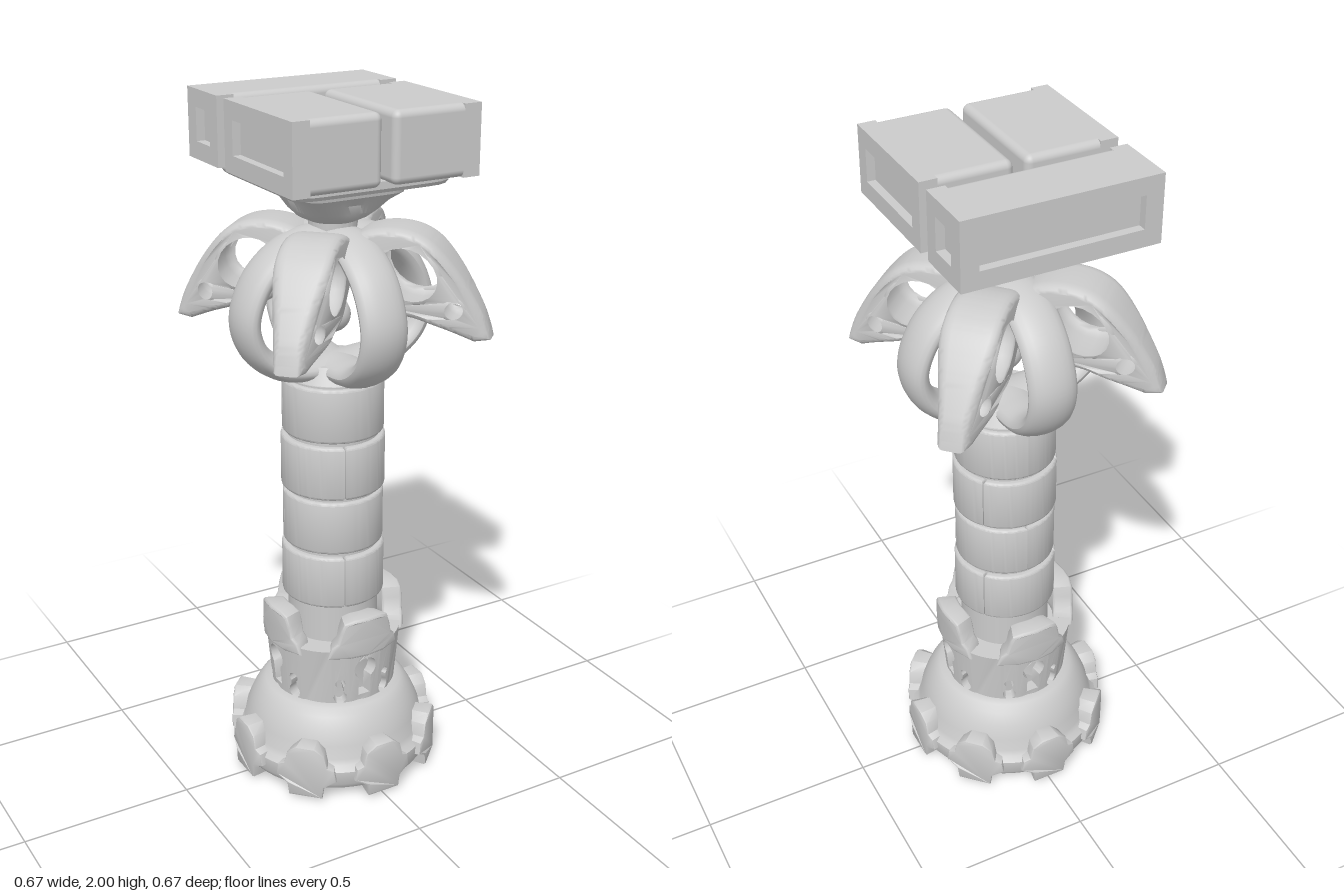
import * as THREE from 'three';
import { toCreasedNormals } from 'three/addons/utils/BufferGeometryUtils.js';
import { RoundedBoxGeometry } from 'three/addons/geometries/RoundedBoxGeometry.js';

const mat = new THREE.MeshStandardMaterial({ color: 0xcccccc, side: THREE.DoubleSide });
const rad = THREE.MathUtils.degToRad;
const V2 = (p) => p.map(([x, y]) => new THREE.Vector2(x, y));

function add(parent, name, geo, x = 0, y = 0, z = 0) {
  const m = new THREE.Mesh(geo, mat);
  m.name = name;
  m.position.set(x, y, z);
  parent.add(m);
  return m;
}

function moveVertices(geo, rule) {
  const p = geo.attributes.position, v = new THREE.Vector3();
  for (let i = 0; i < p.count; i++) {
    rule(v.fromBufferAttribute(p, i));
    p.setXYZ(i, v.x, v.y, v.z);
  }
  geo.computeVertexNormals();
  return geo;
}

const creased = (geo, a = 0.7) => toCreasedNormals(geo, a);

// Wraps a flat extrusion around the y axis; radius(y) is its inner radius.
function bend(geo, r0, radius) {
  return creased(moveVertices(geo, (v) => {
    const a = v.x / r0, r = radius(v.y) + v.z;
    v.set(Math.sin(a) * r, v.y, Math.cos(a) * r);
  }));
}

// Round head with a straight slot below it.
function keyhole(cy, r, half, bottom) {
  const pts = [[-half, bottom], [half, bottom]];
  const a0 = -Math.acos(half / r);
  for (let i = 0; i <= 12; i++) {
    const a = a0 + (Math.PI - 2 * a0) * i / 12;
    pts.push([Math.cos(a) * r, cy + Math.sin(a) * r]);
  }
  return new THREE.Path(V2(pts).reverse());
}

// Two touching round openings.
function doubleHole() {
  const pts = [];
  for (let i = 0; i <= 10; i++) {
    const a = -0.95 + 5.04 * i / 10;
    pts.push([Math.cos(a) * 0.015, 0.328 + Math.sin(a) * 0.015]);
  }
  for (let i = 0; i <= 10; i++) {
    const a = 2.2 + 5.02 * i / 10;
    pts.push([Math.cos(a) * 0.02, 0.28 + Math.sin(a) * 0.022]);
  }
  return new THREE.Path(V2(pts).reverse());
}

function buildBase(g) {
  // Hollow flared skirt
  add(g, 'baseSkirt', creased(new THREE.LatheGeometry(V2([
    [0.16, 0.26], [0.165, 0.22], [0.2, 0.15], [0.2, 0], [0.222, 0.005], [0.225, 0.03], [0.28, 0.03],
    [0.293, 0.05], [0.293, 0.09], [0.278, 0.105], [0.27, 0.12], [0.262, 0.16], [0.245, 0.2],
    [0.225, 0.235], [0.205, 0.255], [0.18, 0.262], [0.16, 0.26]]), 64).toNonIndexed()));

  // Domed lugs around the foot
  const lug = new THREE.Shape(V2([[-0.045, 0.015], [0.045, 0.015], [0.05, 0.05], [0.085, 0.07], [0.08, 0.1],
    [0.06, 0.11], [0.05, 0.15], [0.025, 0.17], [-0.025, 0.17], [-0.05, 0.15], [-0.06, 0.11],
    [-0.08, 0.1], [-0.085, 0.07], [-0.05, 0.05]]));
  const lugGeo = bend(new THREE.ExtrudeGeometry(lug, { depth: 0.05, bevelSize: 0.006, bevelThickness: 0.006,
    bevelSegments: 2 }), 0.3, () => 0.254);
  for (let i = 0; i < 8; i++) add(g, 'footLug', lugGeo).rotation.y = i * Math.PI / 4;

  // Tower wall in panels, pierced by windows
  const R = 0.19;
  const panel = (deg, hole) => {
    const h = rad(deg) * R / 2, pts = [], n = Math.round(deg / 4);
    for (let i = 0; i <= n; i++) pts.push([-h + 2 * h * i / n, 0.24]);
    for (let i = 0; i <= n; i++) pts.push([h - 2 * h * i / n, 0.44]);
    const s = new THREE.Shape(V2(pts));
    if (hole) s.holes.push(hole);
    return bend(new THREE.ExtrudeGeometry(s, { depth: 0.035, bevelEnabled: false }), R,
      (y) => 0.148 + (y - 0.24) * 0.09);
  };
  const small = panel(16, doubleHole());
  const panels = [[0, panel(30, keyhole(0.37, 0.036, 0.02, 0.28))], [23, small], [45, panel(28)], [67, small]];

  // Merlons, one above each large window
  const merlon = new THREE.Shape(V2([[-0.11, 0.425], [-0.055, 0.425], [0, 0.425], [0.055, 0.425], [0.11, 0.425],
    [0.1, 0.45], [0.083, 0.465], [0.075, 0.5], [0.065, 0.525], [0.04, 0.533], [0, 0.533], [-0.04, 0.533],
    [-0.065, 0.525], [-0.075, 0.5], [-0.083, 0.465], [-0.1, 0.45]]));
  const merlonGeo = bend(new THREE.ExtrudeGeometry(merlon, { depth: 0.045, bevelSize: 0.008,
    bevelThickness: 0.008, bevelSegments: 3 }), 0.2, () => 0.156);
  for (let q = 0; q < 4; q++) {
    for (const [deg, geo] of panels) add(g, 'towerWall', geo).rotation.y = rad(deg + q * 90);
    add(g, 'merlon', merlonGeo).rotation.y = q * Math.PI / 2;
  }
  add(g, 'towerDeck', new THREE.CylinderGeometry(0.19, 0.18, 0.025, 48), 0, 0.425, 0);
}

function buildColumn(g) {
  add(g, 'columnCore', new THREE.CylinderGeometry(0.132, 0.132, 0.8, 48), 0, 0.83, 0);
  // Four courses of curved stones with staggered seams
  const seams = [[-16, 129, 236], [74, 180, 255]];
  for (let row = 0; row < 4; row++) {
    const s = seams[row % 2], rOut = row % 2 ? 0.137 : 0.141;
    s.forEach((a, i) => {
      const b = i < 2 ? s[i + 1] : s[0] + 360;
      const a0 = rad(a - 90 + 3.6), a1 = rad(b - 90 - 3.6);
      const shape = new THREE.Shape();
      shape.absarc(0, 0, rOut, a0, a1, false);
      shape.absarc(0, 0, 0.11, a1, a0, true);
      const geo = new THREE.ExtrudeGeometry(shape, { depth: 0.143, curveSegments: 20, bevelSize: 0.008,
        bevelThickness: 0.008, bevelSegments: 3 });
      geo.rotateX(-Math.PI / 2);
      add(g, 'columnStone', creased(geo), 0, 0.564 + row * 0.17, 0);
    });
  }
}

function buildCage(g) {
  // Four wide ribs bulging into a globe
  const path = [[0, 1.62], [0.07, 1.625], [0.15, 1.6], [0.23, 1.53], [0.272, 1.42], [0.245, 1.33], [0.17, 1.272], [0.08, 1.257], [0, 1.257]];
  const curve = new THREE.CatmullRomCurve3(path.map(([x, y]) => new THREE.Vector3(x, y, 0)));
  const rib = moveVertices(new THREE.TubeGeometry(curve, 48, 0.034, 20), (v) => { v.z *= 2.05; });

  // Drooping pierced leaves on the diagonals
  const leaf = new THREE.Shape();
  leaf.moveTo(0.03, 1.58);
  leaf.splineThru(V2([[0.1, 1.635], [0.19, 1.65], [0.27, 1.625], [0.34, 1.55], [0.4, 1.45], [0.425, 1.385]]));
  leaf.lineTo(0.405, 1.383);
  leaf.splineThru(V2([[0.33, 1.415], [0.25, 1.44], [0.18, 1.455], [0.12, 1.51], [0.03, 1.58]]));
  const eye = new THREE.Path(), dot = new THREE.Path();
  eye.absellipse(0.225, 1.548, 0.085, 0.068, 0, Math.PI * 2, true, -0.5);
  dot.absellipse(0.35, 1.455, 0.024, 0.024, 0, Math.PI * 2, true);
  leaf.holes.push(eye, dot);
  const leafGeo = new THREE.ExtrudeGeometry(leaf, { depth: 0.08, curveSegments: 10, bevelSize: 0.018,
    bevelThickness: 0.03, bevelSegments: 4 });
  leafGeo.translate(0, 0, -0.04);
  moveVertices(leafGeo, (v) => { v.z *= 1.1 - 0.55 * THREE.MathUtils.smoothstep(v.x, 0.28, 0.45); });
  const leafSmooth = creased(leafGeo, 0.9);

  for (let i = 0; i < 4; i++) {
    add(g, 'cageRib', rib).rotation.y = i * Math.PI / 2;
    add(g, 'leaf', leafSmooth).rotation.y = (i + 0.5) * Math.PI / 2;
  }
  add(g, 'cageSeat', new THREE.CylinderGeometry(0.1, 0.13, 0.05, 40), 0, 1.25, 0);
  add(g, 'hangingRod', new THREE.CylinderGeometry(0.018, 0.018, 0.22, 16), 0, 1.52, 0);
  add(g, 'hangingBall', new THREE.SphereGeometry(0.05, 24, 16), 0, 1.4, 0);
}

function buildCapital(g) {
  // Neck that turns from round to a rounded square plate
  const neck = new THREE.LatheGeometry(V2([[0, 1.6], [0.065, 1.61], [0.068, 1.67], [0.1, 1.685], [0.118, 1.705], [0.125, 1.73], [0.15, 1.755],
    [0.155, 1.78], [0.232, 1.785], [0.238, 1.795], [0.238, 1.815], [0, 1.815]]), 64);
  add(g, 'neckAndPlate', creased(moveVertices(neck, (v) => {
    const n = 2 + 8 * THREE.MathUtils.smoothstep(v.y, 1.69, 1.785), r = Math.hypot(v.x, v.z);
    if (r < 1e-5) return;
    const k = Math.pow(Math.pow(Math.abs(v.x / r), n) + Math.pow(Math.abs(v.z / r), n), -1 / n);
    v.x *= k;
    v.z *= k;
  }).toNonIndexed(), 0.5));

  // Rectangular frame whose opening forms a sunken panel
  const frame = (w) => {
    const h = 0.095, s = new THREE.Shape(V2([[-w / 2, -h], [w / 2, -h], [w / 2, h], [-w / 2, h]]));
    const x = w / 2 - 0.046, y = 0.046;
    s.holes.push(new THREE.Path(V2([[-x, -y], [-x, y], [x, y], [x, -y]])));
    return new THREE.ExtrudeGeometry(s, { depth: 0.05, bevelEnabled: false });
  };
  const Y = 1.905, H = 0.19;
  for (const side of [1, -1]) {
    add(g, 'frontBlock', new RoundedBoxGeometry(0.235, H, 0.372, 4, 0.02), side * 0.1335, Y, 0.099);
    add(g, 'frontBlockFrame', frame(0.372), side * 0.225, Y, 0.099).rotation.y = side * Math.PI / 2;
    add(g, 'backBlockEndFrame', frame(0.18), side * 0.225, Y, -0.22).rotation.y = side * Math.PI / 2;
  }
  add(g, 'backBlock', new RoundedBoxGeometry(0.5, H, 0.155, 4, 0.02), 0, Y, -0.2075);
  add(g, 'backBlockFrame', frame(0.55), 0, Y, -0.26).rotation.y = Math.PI;
}

export function createModel() {
  const root = new THREE.Group();
  root.name = 'tower';
  const parts = { base: buildBase, column: buildColumn, cage: buildCage, capital: buildCapital };
  for (const [name, build] of Object.entries(parts)) {
    const g = new THREE.Group();
    g.name = name;
    build(g);
    root.add(g);
  }
  return root;
}
